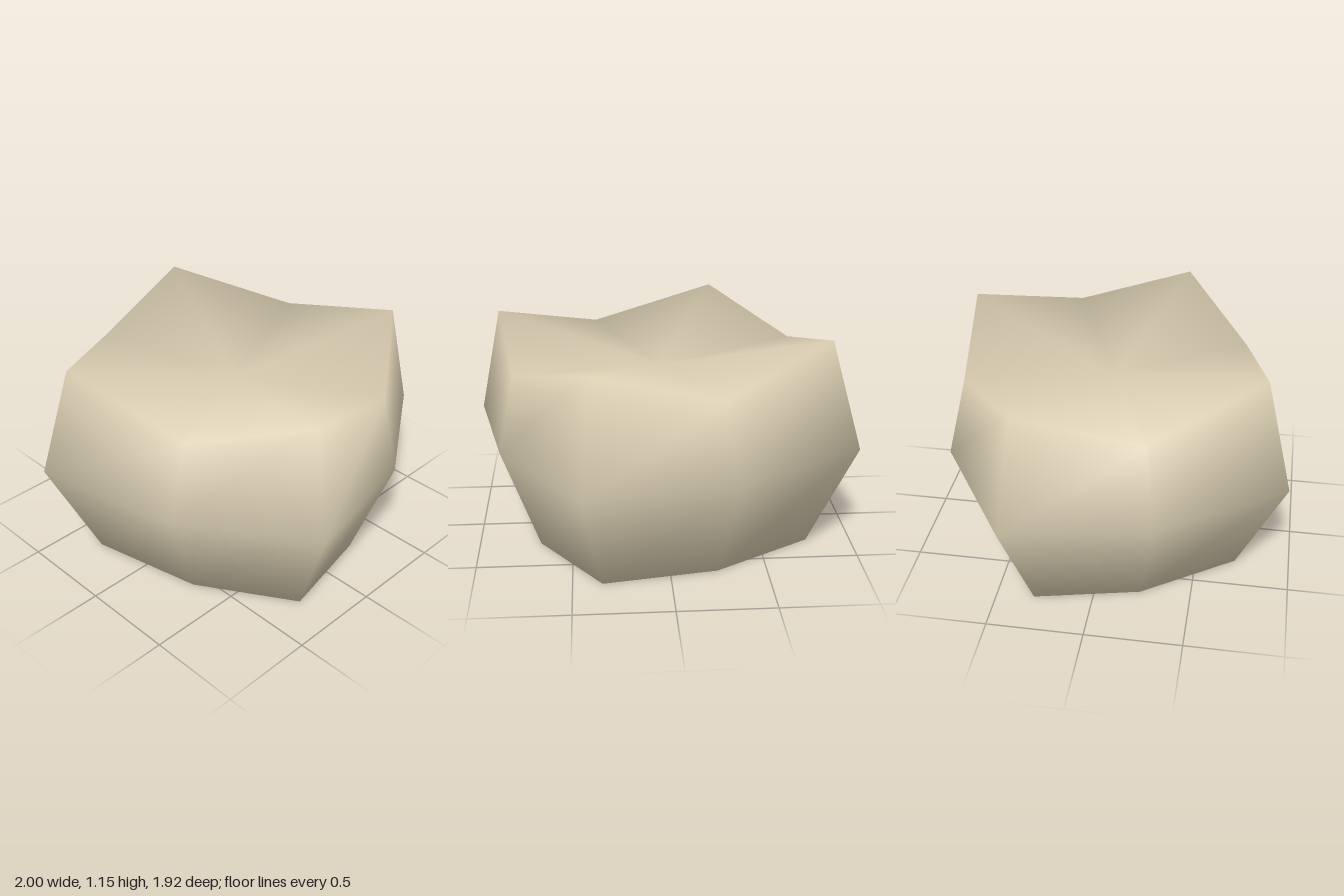
import * as THREE from 'three';

// Plan of the widest ring as [x, z]; corners and flat midpoints alternate.
const PLAN = [
  [-1, -0.41], [-0.33, -0.83], [0.44, -0.96], [0.86, -0.34],
  [1, 0.37], [0.37, 0.78], [-0.41, 0.96], [-0.84, 0.32],
];

export function createModel() {
  const group = new THREE.Group();
  const cream = new THREE.MeshStandardMaterial({ color: 0xd8ccb0 });
  cream.name = 'cream';

  const n = PLAN.length;
  const positions = [];
  const index = [];

  // Foot ring, belly ring, and a rim that rises at corners and dips between them.
  PLAN.forEach(([x, z]) => positions.push(x * 0.77 + 0.01, 0, z * 0.74));
  PLAN.forEach(([x, z]) => positions.push(x, 0.57, z));
  PLAN.forEach(([x, z], i) => {
    const corner = i % 2 === 0;
    const s = corner ? 0.86 : 0.88;
    positions.push(x * s + 0.02, corner ? 1.147 : 0.98, z * s - 0.01);
  });

  // Centre points of the flat base and the sunken top.
  const base = 3 * n;
  const top = base + 1;
  positions.push(0.01, 0, 0, 0.02, 0.92, 0);

  for (let i = 0; i < n; i++) {
    const j = (i + 1) % n;
    // Walls
    for (let r = 0; r < 2; r++) {
      const a = r * n + i, b = r * n + j;
      index.push(b, a, a + n, b, a + n, b + n);
    }
    // Base and top fans
    index.push(base, i, j);
    index.push(top, 2 * n + j, 2 * n + i);
  }

  const geometry = new THREE.BufferGeometry();
  geometry.setAttribute('position', new THREE.Float32BufferAttribute(positions, 3));
  geometry.setIndex(index);
  geometry.computeVertexNormals();

  const body = new THREE.Mesh(geometry, cream);
  body.name = 'body';
  group.add(body);
  return group;
}
